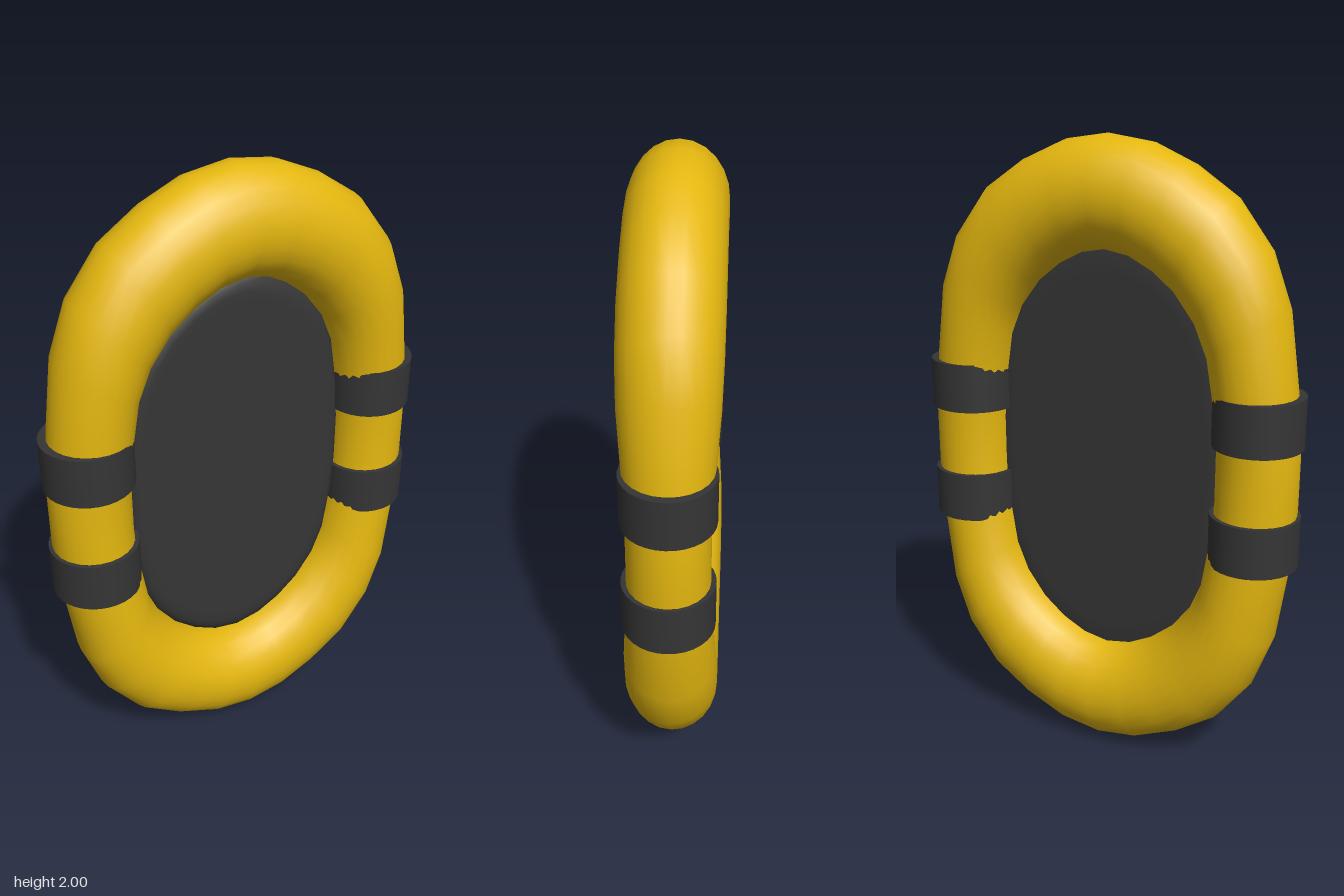
import * as THREE from 'three';

const yellow = new THREE.MeshStandardMaterial({ color: 0xe4b70f });
yellow.name = 'yellow tube';
const charcoal = new THREE.MeshStandardMaterial({ color: 0x353535 });
charcoal.name = 'charcoal rubber';

// Quarter of the ring, heights from the middle: outer x, outer y, inner x, inner y, half depth
const quarter = [
  [0, 1, 0, 0.66, 0.148],
  [0.14, 0.98, 0.085, 0.645, 0.148],
  [0.275, 0.922, 0.165, 0.605, 0.148],
  [0.41, 0.833, 0.24, 0.545, 0.148],
  [0.52, 0.69, 0.305, 0.46, 0.147],
  [0.582, 0.525, 0.345, 0.365, 0.143],
  [0.62, 0.27, 0.37, 0.21, 0.13],
  [0.635, 0.09, 0.38, 0.08, 0.124],
];
const flip = (list, sx, sy) => list.map(([a, b, c, d, e]) => [a * sx, b * sy, c * sx, d * sy, e]);
const stations = [
  ...quarter,
  ...flip(quarter, 1, -1).reverse(),
  ...flip(quarter.slice(1), -1, -1),
  ...flip(quarter.slice(1), -1, 1).reverse(),
];

// Skin a closed loop of cross-sections
function loft(rows, closedSection) {
  const n = rows.length, m = rows[0].length, index = [];
  for (let i = 0; i < n; i++) {
    for (let j = 0; j < (closedSection ? m : m - 1); j++) {
      const i2 = (i + 1) % n, j2 = (j + 1) % m;
      const a = i * m + j, b = i * m + j2, c = i2 * m + j, d = i2 * m + j2;
      index.push(a, b, c, b, d, c);
    }
  }
  const g = new THREE.BufferGeometry();
  g.setAttribute('position', new THREE.Float32BufferAttribute(rows.flat(2), 3));
  g.setIndex(index);
  g.computeVertexNormals();
  return g;
}

export function createModel() {
  const group = new THREE.Group();
  group.name = 'lifeRaft';
  const add = (name, geometry, material, x, y) => {
    const mesh = new THREE.Mesh(geometry, material);
    mesh.name = name;
    mesh.position.set(x, y, 0);
    group.add(mesh);
  };

  // Inflated ring: elliptical sections between the inner and outer outlines
  const sides = 24;
  const ringRows = stations.map(([ox, oy, ix, iy, depth]) =>
    Array.from({ length: sides }, (_, j) => {
      const a = (j / sides) * Math.PI * 2, t = (1 + Math.cos(a)) / 2;
      return [ix + (ox - ix) * t, iy + (oy - iy) * t, Math.sin(a) * depth];
    }));
  add('inflatedRing', loft(ringRows, true), yellow, 0, 1);

  // Floor: flat at the back, rounded rim at the front
  const profile = [[0, -0.01], [0.9, -0.01], [1.015, -0.01], [1.015, 0], [0.99, 0.015],
    [0.965, 0.024], [0.93, 0.029], [0.88, 0.03], [0, 0.03]];
  const floorRows = stations.map(([, , x, y]) => profile.map(([s, z]) => [x * s, y * s, z]));
  add('floor', loft(floorRows, false), charcoal, 0, 1);

  // Straps around both sides of the ring
  const strap = new THREE.CylinderGeometry(0.14, 0.14, 0.16, 32);
  for (const side of [1, -1]) {
    for (const y of [0.813, 1.191]) {
      add(`${side > 0 ? 'left' : 'right'}${y > 1 ? 'Upper' : 'Lower'}Strap`, strap, charcoal, side * 0.505, y);
    }
  }
  return group;
}
